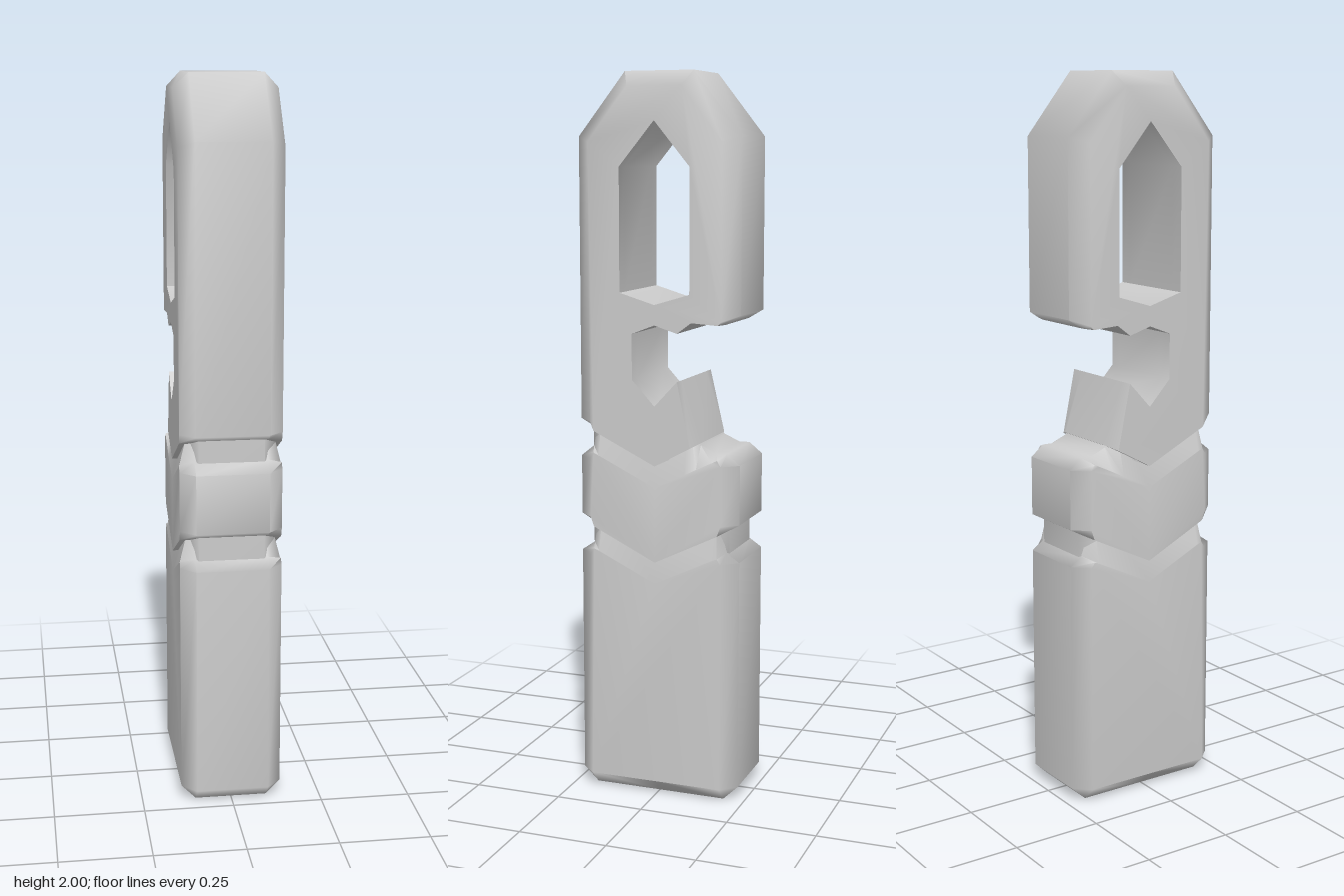
import * as THREE from 'three';

// Normals weighted by face area, split where faces meet at more than the crease angle
function smoothByArea(geo, crease) {
  const p = geo.attributes.position, faces = [], at = new Map();
  const v = [0, 1, 2].map(() => new THREE.Vector3());
  const key = i => [p.getX(i), p.getY(i), p.getZ(i)].map(n => Math.round(n * 1e4)).join();
  for (let i = 0; i < p.count; i += 3) {
    v.forEach((q, k) => q.fromBufferAttribute(p, i + k));
    const area = v[1].clone().sub(v[0]).cross(v[2].clone().sub(v[0]));
    const f = { area, dir: area.clone().normalize() };
    faces.push(f);
    for (let k = 0; k < 3; k++) {
      const id = key(i + k);
      if (!at.has(id)) at.set(id, []);
      at.get(id).push(f);
    }
  }
  const normals = [], limit = Math.cos(crease);
  for (let i = 0; i < p.count; i++) {
    const f = faces[Math.floor(i / 3)], n = new THREE.Vector3();
    for (const g of at.get(key(i))) if (g.dir.dot(f.dir) > limit) n.add(g.area);
    normals.push(...n.normalize().toArray());
  }
  geo.setAttribute('normal', new THREE.Float32BufferAttribute(normals, 3));
  return geo;
}

// Side profile spread across x. Points are [z, y, capZ, capY], counter-clockwise
// (holes clockwise); the cap pair is the point's inset position on the side faces.
function chamferedSlab(outline, half, bevel, hole) {
  const pos = [];
  // Adds a triangle unless two of its corners coincide
  const tri = (...pts) => {
    if (new Set(pts.map(q => q.join())).size === 3) pts.forEach(q => pos.push(...q));
  };
  const cap = ([z, y, cz = z, cy = y]) => [cz, cy];
  const loops = hole ? [outline, hole] : [outline];

  // Walls: chamfer, straight band, chamfer
  const levels = [[-half, true], [bevel - half, false], [half - bevel, false], [half, true]];
  const at = (q, [x, inset]) => {
    const [z, y] = inset ? cap(q) : q;
    return [x, y, z];
  };
  for (const loop of loops) {
    loop.forEach((a, i) => {
      const b = loop[(i + 1) % loop.length];
      for (let k = 0; k < 3; k++) {
        const n = levels[k], f = levels[k + 1];
        tri(at(a, n), at(a, f), at(b, f));
        tri(at(a, n), at(b, f), at(b, n));
      }
    });
  }

  // Side faces
  const flat = loops.map(l => l.map(q => new THREE.Vector2(...cap(q))));
  const all = flat.flat();
  const on = (i, x) => [x, all[i].y, all[i].x];
  for (const [a, b, c] of THREE.ShapeUtils.triangulateShape(flat[0], flat.slice(1))) {
    tri(on(a, -half), on(b, -half), on(c, -half));
    tri(on(a, half), on(c, half), on(b, half));
  }
  const geo = new THREE.BufferGeometry();
  geo.setAttribute('position', new THREE.Float32BufferAttribute(pos, 3));
  return smoothByArea(geo, 1.1);
}

// Repeat the +z half of a profile on the -z side, skipping points on the axis
function mirrored(pts) {
  const back = pts.filter(q => q[0] > 0).reverse()
    .map(([z, y, cz = z, cy = y]) => [-z, y, -cz, cy]);
  return [...pts, ...back];
}

export function createModel() {
  const group = new THREE.Group();
  const material = new THREE.MeshStandardMaterial({ color: 0xcccccc });
  const add = (name, geo) => {
    const mesh = new THREE.Mesh(geo, material);
    mesh.name = name;
    group.add(mesh);
  };

  // Handle: long chamfered block whose V-shaped top slopes in under the collar
  add('handle', chamferedSlab(mirrored([
    [0, 0, 0, 0.04], [0.19, 0, 0.19, 0.04], [0.232, 0.04, 0.19, 0.04],
    [0.232, 0.685, 0.19, 0.685], [0.195, 0.71, 0.18, 0.7],
    [0.165, 0.855, 0.165, 0.695], [0, 0.775, 0, 0.615],
  ]), 0.14, 0.04));

  // Collar: chevron band between the two grooves, sloping in under the head
  add('collar', chamferedSlab([
    [0, 0.675], [0.195, 0.77, 0.18, 0.763], [0.232, 0.79, 0.19, 0.79],
    [0.232, 0.955, 0.19, 0.955], [0.195, 0.985, 0.18, 0.972],
    [0.165, 1.125, 0.165, 0.965], [0, 1.045, 0, 0.885],
    [-0.085, 1.08, -0.085, 0.926], [-0.12, 1.005, -0.12, 0.944],
    [-0.165, 0.985, -0.165, 0.965], [-0.195, 0.985, -0.18, 0.972],
    [-0.232, 0.955, -0.19, 0.955], [-0.232, 0.79, -0.19, 0.79], [-0.195, 0.77, -0.18, 0.763],
  ], 0.14, 0.04));

  // Recessed groove floors
  add('lowerGroove', chamferedSlab(mirrored([
    [0, 0.6], [0.2, 0.67, 0.165, 0.67], [0.2, 0.79, 0.165, 0.78], [0, 0.69],
  ]), 0.125, 0.035));
  add('upperGroove', chamferedSlab([
    [0, 0.87], [0.2, 0.95, 0.165, 0.95], [0.2, 1.06, 0.165, 1.05],
    [0, 0.96], [-0.08, 0.97], [-0.08, 0.91],
  ], 0.125, 0.035));

  // Head: arched loop with a window and a hooked notch open to the back
  const windowHole = [
    [0, 1.87], [0.1, 1.75], [0.1, 1.415], [0, 1.385], [-0.1, 1.415], [-0.1, 1.75],
  ];
  add('hookHead', chamferedSlab([
    [0, 0.945], [0.195, 1.04, 0.18, 1.033], [0.232, 1.06, 0.19, 1.06],
    [0.232, 1.83, 0.19, 1.815], [0.097, 2, 0.077, 1.96],
    [-0.097, 2, -0.077, 1.96], [-0.232, 1.83, -0.19, 1.815],
    [-0.232, 1.36, -0.19, 1.345], [-0.19, 1.335, -0.18, 1.335],
    [-0.105, 1.34], [-0.065, 1.31], [0, 1.33], [0.065, 1.305],
    [0.065, 1.18], [0, 1.11], [-0.065, 1.18], [-0.12, 1.01, -0.102, 1.0],
  ], 0.14, 0.04, windowHole));

  return group;
}
